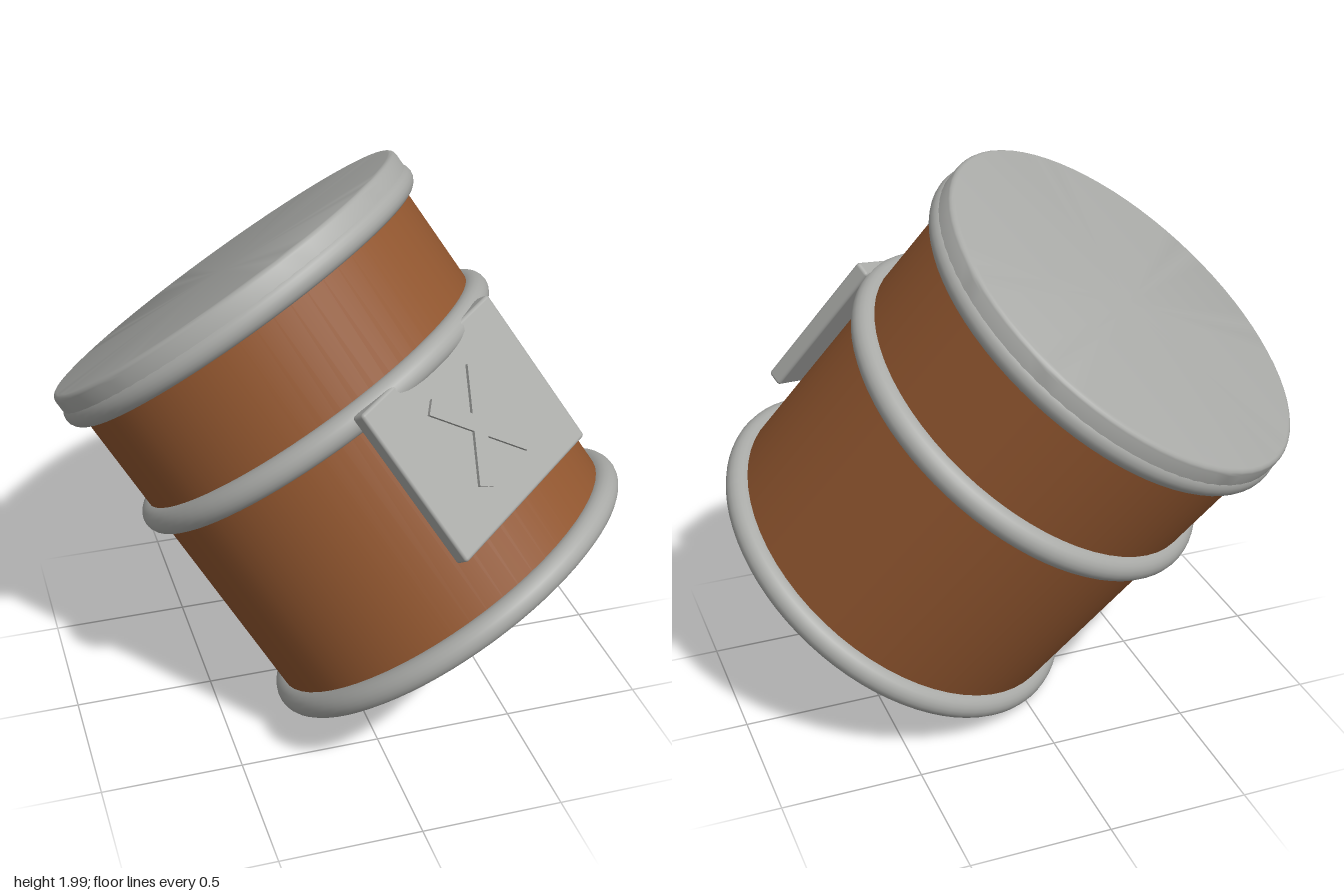
import * as THREE from 'three';
import { toCreasedNormals } from 'three/addons/utils/BufferGeometryUtils.js';
import { RoundedBoxGeometry } from 'three/addons/geometries/RoundedBoxGeometry.js';

const wood = new THREE.MeshStandardMaterial({ color: 0x91562f });
wood.name = 'brown wood';
const metal = new THREE.MeshStandardMaterial({ color: 0xa9aaa7 });
metal.name = 'grey metal';

const RADIUS = 0.685;
const HOOP = 0.049;
const HEIGHT = 1.28; // from bottom hoop to top hoop

function addMesh(parent, name, geometry, material) {
  const mesh = new THREE.Mesh(geometry, material);
  mesh.name = name;
  parent.add(mesh);
  return mesh;
}

export function createModel() {
  const model = new THREE.Group();
  model.name = 'barrel';

  // Tilted frame: local y is the barrel axis, local z faces the plate
  const barrel = new THREE.Group();
  barrel.name = 'tiltedBarrel';
  const axis = new THREE.Vector3(-0.493, 0.794, -0.356).normalize();
  const facing = new THREE.Vector3(0.337, 0.553, 0.765);
  const side = new THREE.Vector3().crossVectors(axis, facing).normalize();
  facing.crossVectors(side, axis);
  barrel.quaternion.setFromRotationMatrix(new THREE.Matrix4().makeBasis(side, axis, facing));
  barrel.position.set(0.33, 0.467, 0.235);
  model.add(barrel);

  // Body, with its base slightly below the bottom hoop
  const body = addMesh(barrel, 'body',
    new THREE.CylinderGeometry(RADIUS, RADIUS, HEIGHT + 0.07, 64), wood);
  body.position.y = HEIGHT / 2;
  body.scale.set(0.995, 1, 0.995);

  // Hoops
  const hoopGeometry = new THREE.TorusGeometry(RADIUS, HOOP, 20, 80).rotateX(Math.PI / 2);
  [['bottomHoop', 0], ['middleHoop', 0.82], ['topHoop', HEIGHT]].forEach(([name, y]) => {
    addMesh(barrel, name, hoopGeometry, metal).position.y = y;
  });

  // Lid with a rounded rim
  const lidRadius = 0.725, lidTop = 0.095, round = 0.022;
  const profile = [new THREE.Vector2(0, 0), new THREE.Vector2(lidRadius, 0)];
  for (let i = 0; i <= 5; i++) {
    const a = (i / 5) * Math.PI / 2;
    profile.push(new THREE.Vector2(
      lidRadius - round + round * Math.cos(a), lidTop - round + round * Math.sin(a)));
  }
  profile.push(new THREE.Vector2(0, lidTop));
  const lid = addMesh(barrel, 'lid',
    toCreasedNormals(new THREE.LatheGeometry(profile, 72), 0.6), metal);
  lid.position.y = HEIGHT;

  // Flat plate with a raised cross
  const plate = new THREE.Group();
  plate.name = 'plate';
  plate.position.set(0, 0.544, 0.71);
  barrel.add(plate);
  addMesh(plate, 'plateBoard', new RoundedBoxGeometry(0.685, 0.59, 0.06, 3, 0.012), metal)
    .position.z = -0.03;
  for (const s of [-1, 1]) {
    const bar = addMesh(plate, s > 0 ? 'crossBarRising' : 'crossBarFalling',
      new THREE.BoxGeometry(0.4, 0.055, 0.03), metal);
    bar.rotation.z = s * 0.93;
    bar.position.z = -0.003;
  }

  return model;
}
